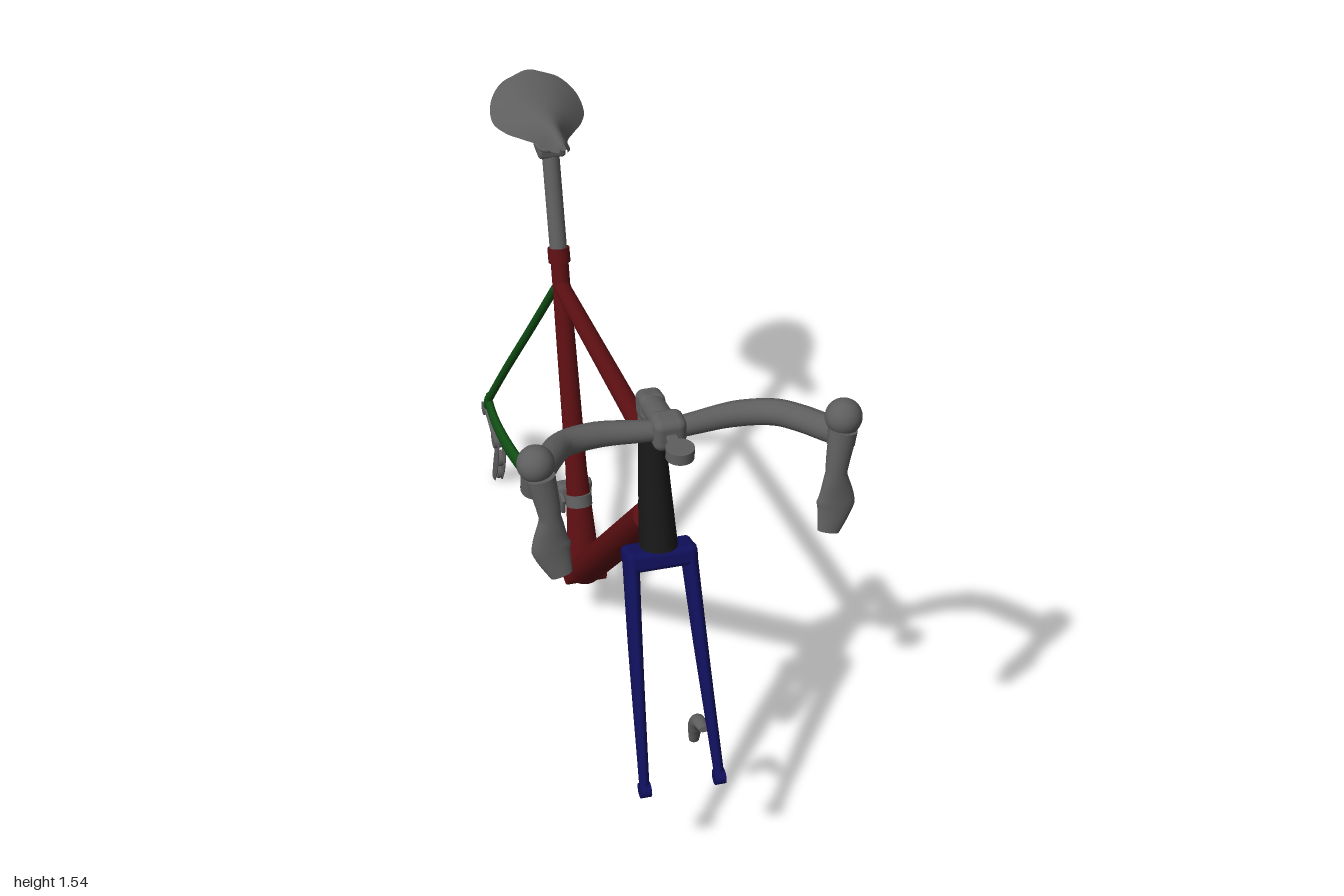
import * as THREE from 'three';
import { RoundedBoxGeometry } from 'three/addons/geometries/RoundedBoxGeometry.js';

const paint = (name, color, side = THREE.FrontSide) => {
  const m = new THREE.MeshStandardMaterial({ color, side });
  m.name = name;
  return m;
};

const X = new THREE.Vector3(1, 0, 0), Y = new THREE.Vector3(0, 1, 0);

// Capped tube through points; radii [across ref, other] are given per point.
function sweep(pts, radii, ref = X, sides = 20) {
  const curve = new THREE.CatmullRomCurve3(pts.map(p => new THREE.Vector3(...p)));
  const spans = pts.length - 1, steps = spans > 1 ? spans * 8 : 1;
  const pos = [], idx = [], rings = [];
  for (let i = 0; i <= steps; i++) {
    const u = i / steps, c = curve.getPoint(u), t = curve.getTangent(u);
    const n = ref.clone().addScaledVector(t, -t.dot(ref)).normalize();
    const b = t.clone().cross(n);
    const k = Math.min(Math.floor(u * spans), spans - 1), f = u * spans - k;
    const r = [0, 1].map(a => THREE.MathUtils.lerp(radii[k][a], radii[k + 1][a], f));
    const ring = [];
    for (let j = 0; j <= sides; j++) {
      const a = j / sides * Math.PI * 2;
      const p = c.clone().addScaledVector(n, Math.cos(a) * r[0]).addScaledVector(b, Math.sin(a) * r[1]);
      ring.push(p);
      pos.push(p.x, p.y, p.z);
    }
    rings.push({ c, ring });
  }
  const w = sides + 1;
  for (let i = 0; i < steps; i++) for (let j = 0; j < sides; j++) {
    const a = i * w + j;
    idx.push(a, a + 1, a + w, a + 1, a + w + 1, a + w);
  }
  // flat caps on separate vertices
  for (const [{ c, ring }, start] of [[rings[0], true], [rings[steps], false]]) {
    const o = pos.length / 3;
    pos.push(c.x, c.y, c.z);
    ring.forEach(p => pos.push(p.x, p.y, p.z));
    for (let j = 1; j <= sides; j++) idx.push(o, o + (start ? j + 1 : j), o + (start ? j : j + 1));
  }
  const g = new THREE.BufferGeometry();
  g.setAttribute('position', new THREE.Float32BufferAttribute(pos, 3));
  g.setIndex(idx);
  g.computeVertexNormals();
  return g;
}

const rod = (a, b, r0, r1 = r0, ref = X) => sweep([a, b], [[r0, r0], [r1, r1]], ref);

// Saddle shell: arched cross-sections along z
function saddleShell() {
  const rows = [[-.37, .012, 1.51], [-.40, .026, 1.50], [-.50, .043, 1.47], [-.57, .08, 1.455], [-.62, .112, 1.45],
    [-.68, .135, 1.455], [-.74, .126, 1.485], [-.79, .085, 1.515], [-.81, .03, 1.53]];
  const curve = new THREE.CatmullRomCurve3(rows.map(r => new THREE.Vector3(...r)));
  const g = new THREE.PlaneGeometry(2, 1, 20, 40), p = g.attributes.position;
  for (let i = 0; i < p.count; i++) {
    const u = p.getX(i), v = p.getY(i) + .5, s = curve.getPoint(1 - v);
    const top = 1.538 - .013 * Math.sin(Math.PI * v);
    p.setXYZ(i, u * s.y, top - (top - s.z) * Math.abs(u) ** 2.2, s.x);
  }
  g.computeVertexNormals();
  return g;
}

export function createModel() {
  const bike = new THREE.Group();
  bike.name = 'bicycleFrame';
  const red = paint('frameRed', 0x5c0f12), green = paint('stayGreen', 0x0f4d13), blue = paint('forkBlue', 0x10105c);
  const black = paint('headBlack', 0x171717), gray = paint('componentGray', 0x5e5e5e);
  const saddleGray = paint('saddleGray', 0x5e5e5e, THREE.DoubleSide);
  const add = (name, geo, mat, parent = bike) => {
    const m = new THREE.Mesh(geo, mat);
    m.name = name;
    parent.add(m);
    return m;
  };
  const box = (name, size, at, tilt = 0, parent = bike, mat = gray) => {
    const m = add(name, new RoundedBoxGeometry(...size, 3, Math.min(...size) * .3), mat, parent);
    m.position.set(...at);
    m.rotation.x = tilt;
    return m;
  };
  const group = name => {
    const g = new THREE.Group();
    g.name = name;
    bike.add(g);
    return g;
  };

  // Main triangle
  add('headTube', sweep([[0, .92, .65], [0, 1.02, .62], [0, 1.24, .562]], [[.05, .06], [.045, .055], [.033, .04]]), black);
  add('downTube', sweep([[0, .97, .585], [0, .2, -.14]], [[.052, .045], [.054, .045]]), red);
  add('seatTube', sweep([[0, .2, -.155], [0, .5, -.245], [0, 1.04, -.41], [0, 1.14, -.44]],
    [[.05, .036], [.032, .03], [.026, .025], [.026, .025]]), red);
  add('topTube', sweep([[0, 1.18, .55], [0, 1.045, -.41]], [[.028, .026], [.024, .021]]), red);
  add('bottomBracket', rod([-.06, .195, -.152], [.06, .195, -.152], .041, .041, Y), red);
  add('seatCollar', rod([0, 1.115, -.433], [0, 1.155, -.446], .032), red);

  // Stays, dropouts and fork blades, mirrored
  box('forkCrown', [.19, .055, .092], [0, .896, .66], -.278, bike, blue);
  for (const s of [1, -1]) {
    const side = s > 0 ? 'left' : 'right';
    add(side + 'ForkBlade', sweep([[.077 * s, .91, .658], [.088 * s, .66, .76], [.103 * s, .32, .918]],
      [[.021, .044], [.018, .036], [.013, .018]]), blue);
    add(side + 'ForkTip', rod([.088 * s, .318, .92], [.117 * s, .318, .92], .021, .021, Y), blue);
    add(side + 'ChainStay', sweep([[.035 * s, .195, -.19], [.047 * s, .225, -.36], [.062 * s, .25, -.5], [.108 * s, .28, -.67],
      [.127 * s, .3, -.8], [.128 * s, .315, -.91]],
      [[.022, .033], [.018, .032], [.016, .029], [.016, .026], [.014, .024], [.012, .02]]), green);
    add(side + 'SeatStay', sweep([[.018 * s, 1.035, -.418], [.055 * s, .8, -.575], [.1 * s, .53, -.755], [.13 * s, .315, -.9]],
      Array(4).fill([.012, .013])), green);
    add(side + 'Dropout', sweep([[.128 * s, .325, -.895], [.128 * s, .265, -.945]], [[.009, .022], [.008, .013]]), green);
  }

  // Seat post, clamp, rails and saddle
  add('seatPost', rod([0, 1.14, -.442], [0, 1.425, -.532], .025), gray);
  box('saddleClamp', [.08, .035, .075], [0, 1.435, -.54], .1);
  box('clampCradle', [.05, .04, .05], [0, 1.465, -.54], .1);
  for (const s of [1, -1]) {
    add('saddleRail', sweep([[.012 * s, 1.495, -.42], [.035 * s, 1.455, -.5], [.04 * s, 1.452, -.58], [.055 * s, 1.5, -.72]],
      Array(4).fill([.007, .007])), gray);
  }
  add('saddle', saddleShell(), saddleGray);

  // Stem, handlebar and front mount
  add('steererSpacer', rod([0, 1.23, .564], [0, 1.29, .55], .034, .032), gray);
  box('stemClamp', [.068, .075, .075], [0, 1.302, .555], -.25);
  add('stem', sweep([[0, 1.31, .54], [0, 1.34, .71]], [[.032, .026], [.034, .032]]), gray);
  add('stemTail', sweep([[0, 1.325, .575], [0, 1.322, .52]], [[.03, .012], [.015, .006]]), gray);
  box('barClamp', [.085, .09, .075], [0, 1.338, .715], 0);
  const mount = add('frontMount', new THREE.CylinderGeometry(.036, .036, .03, 28), gray);
  mount.position.set(0, 1.35, .825);
  box('mountArm', [.03, .02, .1], [0, 1.34, .77], 0);
  add('handlebar', sweep([[-.385, 1.4, .91], [-.36, 1.39, .87], [-.32, 1.375, .80], [-.27, 1.355, .73], [-.18, 1.345, .70],
    [0, 1.338, .71], [.18, 1.345, .70], [.27, 1.355, .73], [.32, 1.375, .80], [.36, 1.39, .87], [.385, 1.4, .91]],
    [.034, .034, .034, .034, .033, .026, .033, .034, .034, .034, .034].map(r => [r, r]), Y), gray);
  for (const s of [1, -1]) {
    const lever = group(s > 0 ? 'leftShifter' : 'rightShifter');
    add('hood', sweep([[.382 * s, 1.375, .91], [.382 * s, 1.43, .92], [.382 * s, 1.47, .92]],
      [[.036, .036], [.036, .036], [.042, .04]]), gray, lever);
    const knob = add('hoodKnob', new THREE.SphereGeometry(.046, 24, 16), gray, lever);
    knob.position.set(.382 * s, 1.455, .918);
    add('brakeLever', sweep([[.375 * s, 1.43, .94], [.358 * s, 1.32, .958], [.358 * s, 1.235, .967], [.337 * s, 1.16, .985]],
      [[.036, .03], [.027, .022], [.05, .02], [.028, .013]]), gray, lever);
  }

  // Brake calipers on the left side
  const front = group('frontBrake');
  add('caliper', sweep([[.08, .425, .845], [.078, .41, .795], [.078, .37, .77], [.078, .315, .762]],
    [[.014, .008], [.02, .02], [.02, .022], [.014, .012]]), gray, front);
  const rear = group('rearBrake');
  box('caliperBody', [.04, .07, .035], [.1, .345, -.75], -.15, rear);
  box('caliperFoot', [.035, .025, .08], [.1, .315, -.735], .16, rear);

  // Front derailleur on the seat tube
  const fd = group('frontDerailleur');
  add('band', rod([0, .395, -.213], [0, .43, -.224], .04), gray, fd);
  box('body', [.1, .055, .055], [-.01, .425, -.25], -.2, fd);
  box('link', [.03, .075, .03], [.035, .41, -.265], .2, fd);
  box('outerCage', [.012, .06, .095], [-.075, .4, -.245], .2, fd);
  box('innerCage', [.012, .055, .085], [-.05, .41, -.24], .2, fd);
  box('cageBridge', [.035, .012, .03], [-.062, .43, -.25], .2, fd);

  // Rear derailleur on the right side
  const rd = group('rearDerailleur');
  add('hangerPivot', rod([-.135, .24, -.965], [-.1, .24, -.965], .022, .022, Y), gray, rd);
  add('upperLink', sweep([[-.115, .24, -.975], [-.118, .252, -.915], [-.118, .24, -.86], [-.115, .205, -.83]],
    [[.014, .012], [.018, .013], [.018, .015], [.016, .014]]), gray, rd);
  add('lowerLink', sweep([[-.108, .235, -.965], [-.108, .205, -.92], [-.11, .2, -.84]],
    [[.014, .01], [.016, .013], [.016, .014]]), gray, rd);
  add('lowerPivot', rod([-.13, .2, -.84], [-.092, .2, -.84], .026, .026, Y), gray, rd);
  for (const x of [-.117, -.093]) {
    add('cagePlate', sweep([[x, .2, -.832], [x, .13, -.85], [x, .07, -.872], [x, .008, -.9]],
      [[.005, .022], [.005, .024], [.005, .026], [.005, .016]]), gray, rd);
  }
  for (const [y, z] of [[.11, -.86], [.04, -.888]]) {
    add('pulley', rod([-.112, y, z], [-.098, y, z], .026, .026, Y), gray, rd);
  }
  return bike;
}
